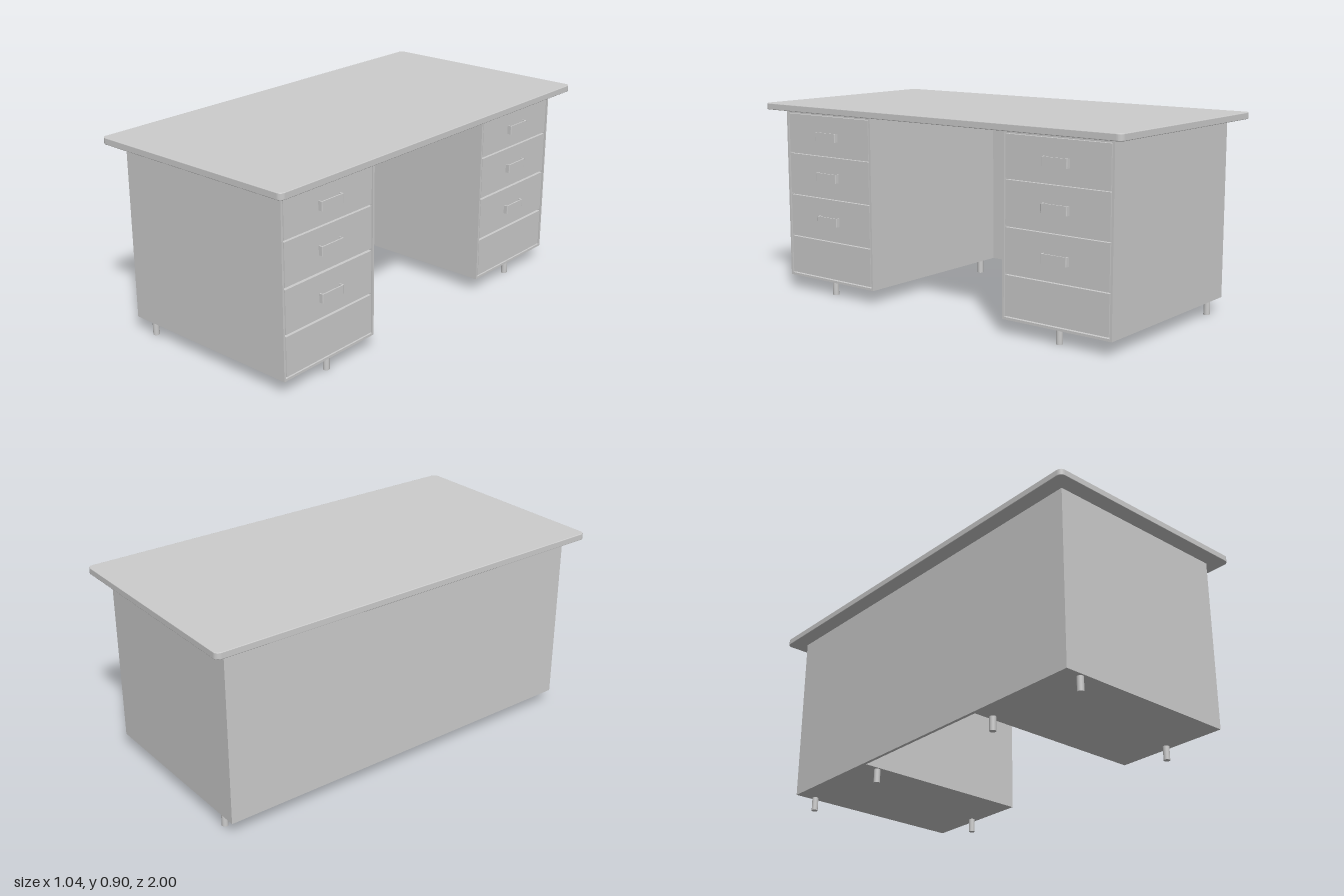
import * as THREE from 'three';

const material = new THREE.MeshStandardMaterial({ color: 0xcccccc });

function add(parent, name, geometry, x = 0, y = 0, z = 0) {
  const mesh = new THREE.Mesh(geometry, material);
  mesh.name = name;
  mesh.position.set(x, y, z);
  parent.add(mesh);
  return mesh;
}

// Rectangle outline centred on the origin, with rounded corners
function roundedRect(w, h, r) {
  const s = new THREE.Shape();
  const x = w / 2, y = h / 2;
  s.moveTo(-x + r, -y);
  s.lineTo(x - r, -y);
  s.absarc(x - r, -y + r, r, -Math.PI / 2, 0);
  s.lineTo(x, y - r);
  s.absarc(x - r, y - r, r, 0, Math.PI / 2);
  s.lineTo(-x + r, y);
  s.absarc(-x + r, y - r, r, Math.PI / 2, Math.PI);
  s.lineTo(-x, -y + r);
  s.absarc(-x + r, -y + r, r, Math.PI, Math.PI * 1.5);
  return s;
}

// Rectangle outline between two corners
function rect(Type, x0, y0, x1, y1) {
  const s = new Type();
  s.moveTo(x0, y0);
  s.lineTo(x1, y0);
  s.lineTo(x1, y1);
  s.lineTo(x0, y1);
  s.closePath();
  return s;
}

// U-shaped pull: plan outline extruded upwards, feet against the drawer
function handleGeometry() {
  const w = 0.064, d = 0.02, t = 0.006, r = 0.004;
  const s = new THREE.Shape();
  s.moveTo(0, -w);
  s.lineTo(d - r, -w);
  s.quadraticCurveTo(d, -w, d, -w + r);
  s.lineTo(d, w - r);
  s.quadraticCurveTo(d, w, d - r, w);
  s.lineTo(0, w);
  s.lineTo(0, w - t);
  s.lineTo(d - t, w - t);
  s.lineTo(d - t, -w + t);
  s.lineTo(0, -w + t);
  s.closePath();
  const g = new THREE.ExtrudeGeometry(s, { depth: 0.04, bevelEnabled: false, curveSegments: 5 });
  g.translate(0, 0, -0.02);
  g.rotateX(-Math.PI / 2);
  return g;
}

const FRONT = 0.45, BACK = -0.45, PANEL = 0.015;
const BOTTOM = 0.064, UNDER_TOP = 0.872;
// Drawer fronts: bottom, top and height of the handle (none on the lowest)
const DRAWERS = [
  [0.668, 0.85, 0.755],
  [0.47, 0.66, 0.565],
  [0.267, 0.46, 0.358],
  [0.08, 0.257, null],
];

function pedestal(name) {
  const group = new THREE.Group();
  group.name = name;

  // Open-fronted carcass with a thin rim
  const shell = rect(THREE.Shape, -0.275, BOTTOM, 0.275, UNDER_TOP);
  shell.holes.push(rect(THREE.Path, -0.265, 0.075, 0.265, 0.856));
  const carcass = new THREE.ExtrudeGeometry(shell, { depth: FRONT - BACK - PANEL, bevelEnabled: false });
  carcass.rotateY(Math.PI / 2);
  add(group, 'carcass', carcass, BACK + PANEL);

  // Board closing the gaps behind the drawer fronts
  add(group, 'innerBoard', new THREE.BoxGeometry(0.01, 0.781, 0.53), 0.427, 0.4655);

  DRAWERS.forEach(([low, high, handleY], i) => {
    add(group, `drawerFront${i + 1}`, new THREE.BoxGeometry(0.02, high - low, 0.518),
      FRONT - 0.012, (low + high) / 2);
    if (handleY) add(group, `drawerHandle${i + 1}`, handleGeometry(), FRONT - 0.002, handleY);
  });

  // One foot under the drawers, two at the back
  [[0.422, -0.003], [-0.357, 0.253], [-0.357, -0.253]].forEach(([x, z], i) => {
    add(group, `foot${i + 1}`, new THREE.CylinderGeometry(0.0145, 0.0145, BOTTOM, 20), x, BOTTOM / 2, z);
  });
  return group;
}

export function createModel() {
  const desk = new THREE.Group();
  desk.name = 'desk';

  // Desktop with rounded corners and softened edges
  const bevel = 0.003;
  const top = new THREE.ExtrudeGeometry(roundedRect(1.044 - 2 * bevel, 2 - 2 * bevel, 0.022), {
    depth: 0.03 - 2 * bevel, bevelThickness: bevel, bevelSize: bevel, bevelSegments: 3, curveSegments: 8,
  });
  top.rotateX(-Math.PI / 2);
  add(desk, 'desktop', top, 0, 0.87 + bevel, 0);

  // Full-width panel behind the knee space
  add(desk, 'modestyPanel', new THREE.BoxGeometry(PANEL, UNDER_TOP - BOTTOM, 1.855),
    BACK + PANEL / 2, (UNDER_TOP + BOTTOM) / 2, 0.0025);

  // Drawer pedestals at both ends
  for (const [side, name] of [[1, 'frontPedestal'], [-1, 'backPedestal']]) {
    const p = pedestal(name);
    p.position.z = 0.0025 + side * 0.6525;
    desk.add(p);
  }
  return desk;
}
